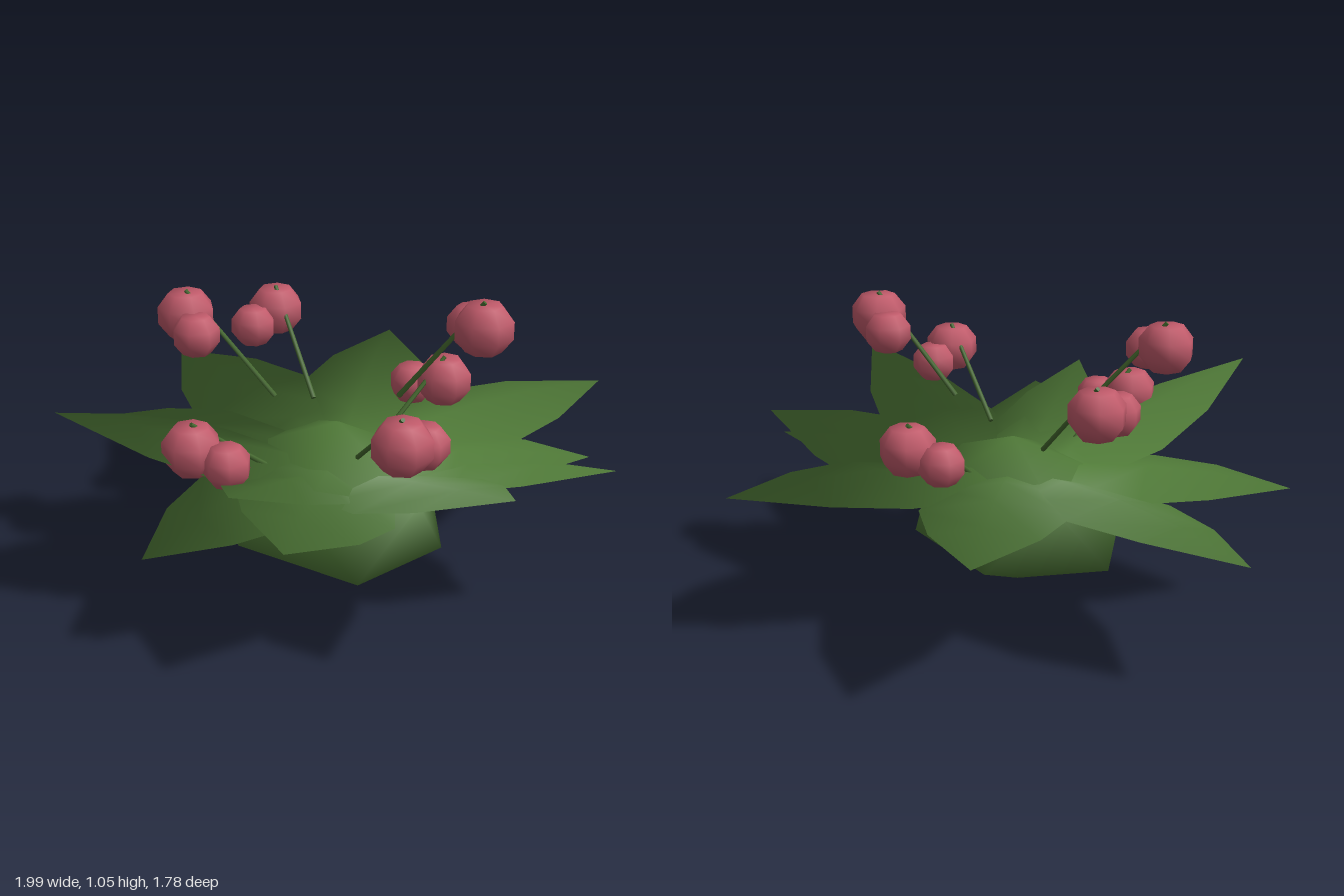
import * as THREE from 'three';

const leafGreen = new THREE.MeshStandardMaterial({ color: 0x507a38, side: THREE.DoubleSide });
leafGreen.name = 'leafGreen';
const stemGreen = new THREE.MeshStandardMaterial({ color: 0x45692f });
stemGreen.name = 'stemGreen';
const berryRed = new THREE.MeshStandardMaterial({ color: 0xc05a6a });
berryRed.name = 'berryRed';

const CENTER = [0.08, 0.06];

function meshFrom(positions, index, material, name) {
  const g = new THREE.BufferGeometry();
  g.setAttribute('position', new THREE.Float32BufferAttribute(positions, 3));
  g.setIndex(index);
  g.computeVertexNormals();
  const mesh = new THREE.Mesh(g, material);
  mesh.name = name;
  return mesh;
}

// Faceted bulb: two staggered five-sided rings between a low and a high point
function makeBulb() {
  const pos = [0.085, 0, 0.09];
  for (const [y, start] of [[0.155, Math.PI + 0.1], [0.41, Math.PI * 1.2 + 0.1]]) {
    for (let i = 0; i < 5; i++) {
      const a = start + (i * Math.PI * 2) / 5;
      pos.push(0.08 + 0.41 * Math.cos(a), y, 0.093 + 0.32 * Math.sin(a));
    }
  }
  pos.push(0.08, 0.56, 0.06);
  const index = [];
  for (let i = 0; i < 5; i++) {
    const n = (i + 1) % 5;
    const low = 1 + i, lowNext = 1 + n, high = 6 + i, highNext = 6 + n;
    index.push(0, low, lowNext, low, high, lowNext, high, highNext, lowNext, high, 11, highNext);
  }
  return meshFrom(pos, index, leafGreen, 'bulb');
}

// Leaf cross-sections: [fraction of length, half width], then a pointed tip
const LEAF_SECTIONS = [[0.08, 0.14], [0.25, 0.205], [0.49, 0.235], [0.73, 0.165]];

function makeLeaf({ tip: [tx, ty, tz], base = 0.43, arch = 0.05, fold = 0.2, roll = 0, width = 1 }) {
  const [cx, cz] = CENTER;
  const dx = tx - cx, dz = tz - cz, len = Math.hypot(dx, dz);
  const px = -dz / len, pz = dx / len;
  const pos = [], index = [];
  LEAF_SECTIONS.forEach(([s, w], row) => {
    const y = base + (ty - base) * s + arch * 4 * s * (1 - s);
    for (const side of [-1, 0, 1]) {
      const k = side * w * width;
      pos.push(cx + dx * s + px * k, y - fold * Math.abs(k) + roll * k, cz + dz * s + pz * k);
    }
    if (row === 0) return;
    for (const c of [0, 1]) {
      const a = (row - 1) * 3 + c, b = a + 3;
      index.push(a, b, a + 1, a + 1, b, b + 1);
    }
  });
  const end = pos.length / 3;
  pos.push(tx, ty, tz);
  index.push(end - 3, end, end - 2, end - 2, end, end - 1);
  const leaf = meshFrom(pos, index, leafGreen, 'leaf');

  // Normals fan out from the middle of the plant for a soft, rounded look
  const { position, normal } = leaf.geometry.attributes;
  const v = new THREE.Vector3();
  for (let i = 0; i < position.count; i++) {
    v.fromBufferAttribute(position, i).sub(new THREE.Vector3(cx, 0.2, cz)).normalize();
    normal.setXYZ(i, v.x, v.y, v.z);
  }
  return leaf;
}

// Round stick between two points
function makeStem(from, to, radius) {
  const a = new THREE.Vector3(...from), b = new THREE.Vector3(...to);
  const d = b.clone().sub(a);
  const mesh = new THREE.Mesh(new THREE.CylinderGeometry(radius * 0.8, radius, d.length(), 6), stemGreen);
  mesh.position.copy(a).addScaledVector(d, 0.5);
  mesh.quaternion.setFromUnitVectors(new THREE.Vector3(0, 1, 0), d.normalize());
  mesh.name = 'stem';
  return mesh;
}

// Berry with dimpled top
function makeBerry(center, radius, turn) {
  const g = new THREE.SphereGeometry(radius, 7, 5);
  const p = g.attributes.position;
  for (let i = 0; i < p.count; i++) {
    if (p.getY(i) > radius * 0.95) p.setY(i, radius * 0.78);
  }
  const mesh = new THREE.Mesh(g, berryRed);
  mesh.scale.set(1, 0.95, 1);
  mesh.position.set(...center);
  mesh.rotation.y = turn;
  mesh.name = 'berry';
  return mesh;
}

export function createModel() {
  const model = new THREE.Group();
  model.name = 'berryPlant';
  model.add(makeBulb());

  const leaves = new THREE.Group();
  leaves.name = 'leaves';
  [
    { tip: [-0.43, 0.51, -0.81], width: 1.05 },
    { tip: [0.5, 0.53, -0.89], width: 1.08 },
    { tip: [0.97, 0.56, -0.25], base: 0.37, arch: 0.03, roll: 0.2 },
    { tip: [0.82, 0.53, -0.33], base: 0.42, arch: 0.03, width: 0.95 },
    { tip: [0.99, 0.69, 0.33], base: 0.37, arch: 0.01 },
    { tip: [0.5, 0.51, 0.76], arch: 0.03, roll: 0.2, width: 1.1 },
    { tip: [0.3, 0.63, 0.78], base: 0.38, arch: 0.01, width: 0.88 },
    { tip: [0.02, 0.36, 0.89], base: 0.45 },
    { tip: [-0.37, 0.73, 0.88], base: 0.4, arch: 0.01, width: 1.05 },
    { tip: [-0.79, 0.44, 0.47], width: 1.03 },
    { tip: [-1, 0.45, -0.2], roll: 0.15 },
  ].forEach((leaf) => leaves.add(makeLeaf(leaf)));
  model.add(leaves);

  // Stem foot, large berry, small berry
  [
    [[0.13, 0.46, -0.11], [0.19, 0.61, -0.37], [0.07, 0.575, -0.34]],
    [[-0.1, 0.57, -0.01], [-0.405, 0.79, -0.14], [-0.4, 0.76, -0.02]],
    [[-0.1, 0.64, 0.18], [-0.375, 0.9, 0.315], [-0.27, 0.87, 0.37]],
    [[0.02, 0.47, 0.33], [-0.05, 0.61, 0.605], [0.07, 0.58, 0.57]],
    [[0.28, 0.54, 0.19], [0.59, 0.735, 0.345], [0.59, 0.7, 0.24]],
    [[0.28, 0.69, -0.01], [0.53, 0.96, -0.12], [0.435, 0.93, -0.18]],
  ].forEach(([foot, big, small], i) => {
    const cluster = new THREE.Group();
    cluster.name = 'berryCluster';
    cluster.add(
      makeStem(foot, [big[0], big[1] + 0.085, big[2]], 0.009),
      makeBerry(big, 0.1, i * 0.9),
      makeBerry(small, 0.082, i * 1.3 + 0.4),
    );
    model.add(cluster);
  });
  return model;
}
